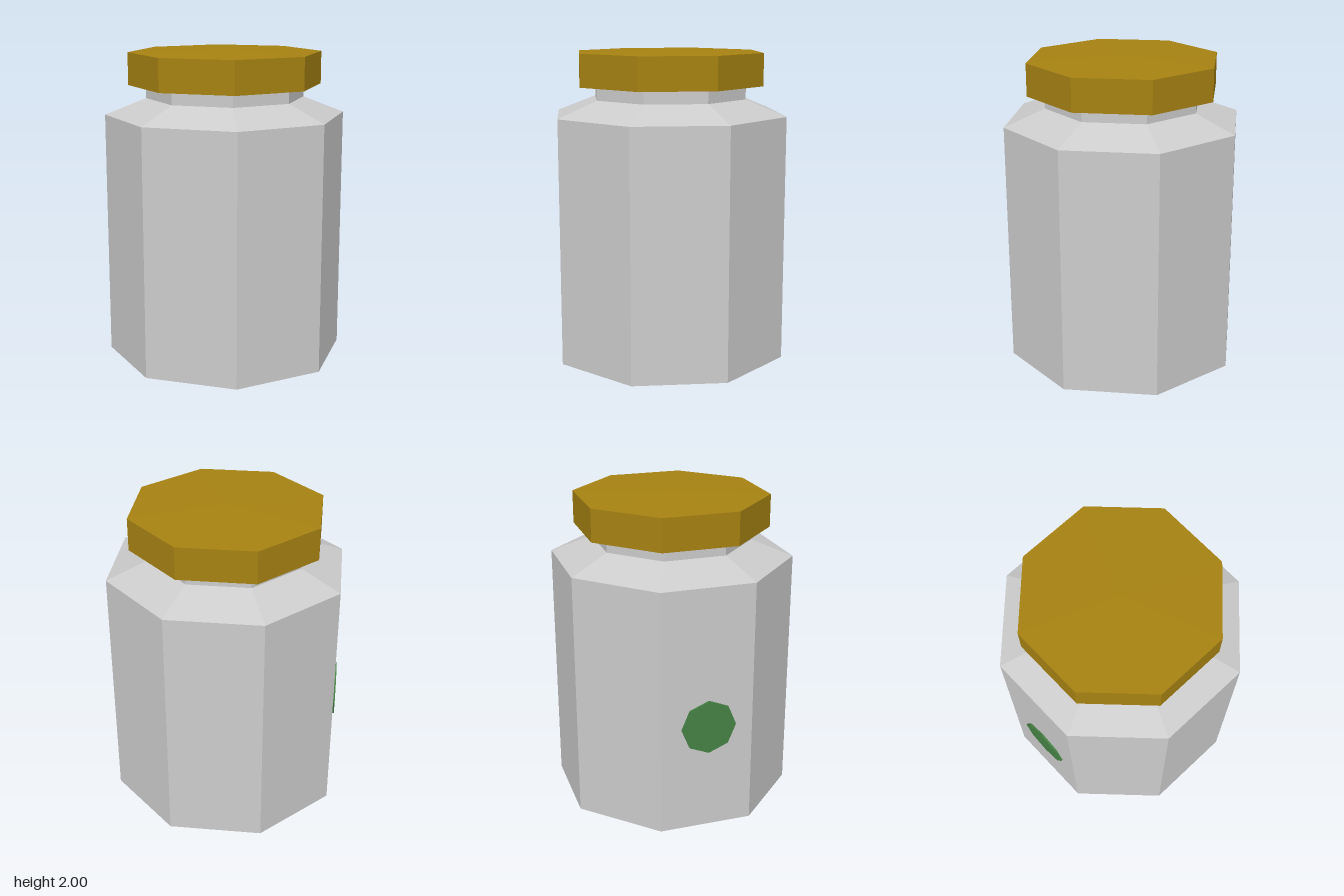
import * as THREE from 'three';

const SIDES = 8;

// Faceted solid of revolution from [radius, height] pairs, bottom to top
function lathe(name, color, profile) {
  const points = profile.map(([r, y]) => new THREE.Vector2(r, y));
  const material = new THREE.MeshStandardMaterial({ color, flatShading: true });
  const mesh = new THREE.Mesh(new THREE.LatheGeometry(points, SIDES), material);
  mesh.name = name;
  return mesh;
}

export function createModel() {
  const group = new THREE.Group();
  group.name = 'jar';

  // Jar body with sloped shoulder and neck
  group.add(lathe('jarBody', 0xcccccc, [
    [0, 0], [0.775, 0], [0.775, 1.587], [0.51, 1.69], [0.51, 1.79], [0, 1.79],
  ]));

  // Overhanging lid with a slightly raised centre
  group.add(lathe('lid', 0xa68212, [
    [0, 1.775], [0.623, 1.775], [0.623, 1.983], [0, 2],
  ]));

  // Thin round badge on the back right facet
  const badge = new THREE.Mesh(
    new THREE.CylinderGeometry(0.175, 0.175, 0.014, SIDES).rotateX(Math.PI / 2).translate(0.01, 0.69, 0.722),
    new THREE.MeshStandardMaterial({ color: 0x468244, flatShading: true }),
  );
  badge.name = 'badge';
  badge.rotation.y = Math.PI + Math.PI / SIDES;
  group.add(badge);

  return group;
}
